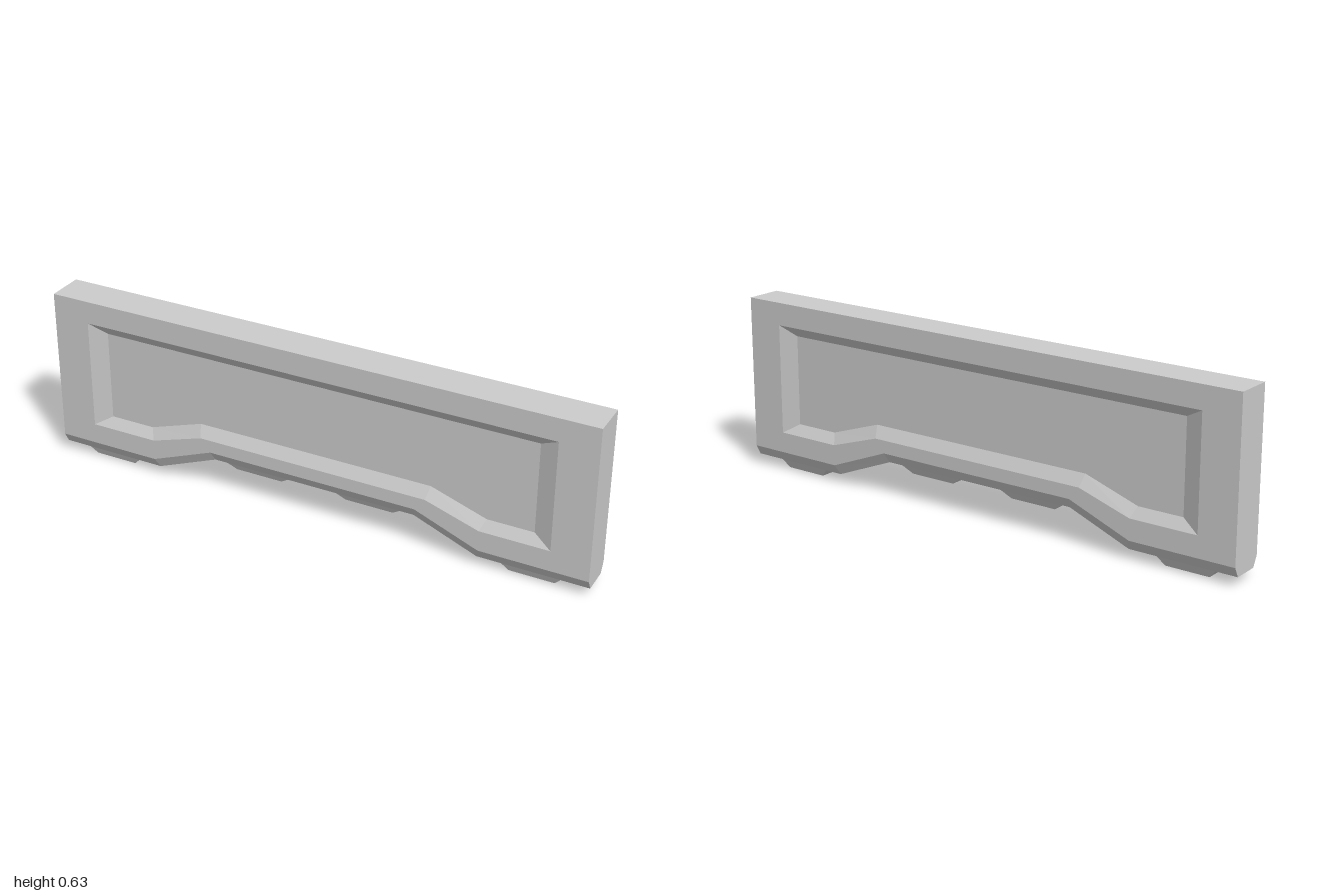
import * as THREE from 'three';

const HALF = 0.067; // half thickness of the panel
const material = new THREE.MeshStandardMaterial({ color: 0xcccccc, flatShading: true });

// Closed arched outline: top, side, low bottom, slope, raised middle (mirrored in x)
function outline(side, top, low, lowX, high, highX) {
  const left = [[-side, top], [-side, low], [-lowX, low], [-highX, high]];
  const right = left.map(([x, y]) => [-x, y]).reverse();
  return [...left, ...right];
}

// Skin over consecutive loops, with flat caps on the first and last
function loft(rings) {
  const pos = [];
  const put = (...pts) => pts.forEach((p) => pos.push(...p));
  const pts = rings.map(({ loop, z }) => loop.map(([x, y]) => [x, y, z]));
  for (let i = 0; i < pts.length - 1; i++) {
    const n = pts[i].length;
    for (let k = 0; k < n; k++) {
      const a = pts[i][k], b = pts[i][(k + 1) % n];
      const c = pts[i + 1][k], d = pts[i + 1][(k + 1) % n];
      put(a, c, d, a, d, b);
    }
  }
  const first = pts[0], last = pts[pts.length - 1];
  const flat = rings[0].loop.map(([x, y]) => new THREE.Vector2(x, y));
  for (const [a, b, c] of THREE.ShapeUtils.triangulateShape(flat, [])) {
    put(first[a], first[b], first[c]);
    put(last[a], last[c], last[b]);
  }
  const geo = new THREE.BufferGeometry();
  geo.setAttribute('position', new THREE.Float32BufferAttribute(pos, 3));
  geo.computeVertexNormals();
  return geo;
}

// Block hanging below y, narrowing downwards
function taperedFoot(topW, bottomW, height) {
  const geo = new THREE.BoxGeometry(topW, height, 0.08);
  geo.translate(0, -height / 2, 0);
  const p = geo.attributes.position;
  for (let i = 0; i < p.count; i++) {
    if (p.getY(i) < -height / 2) {
      p.setX(i, p.getX(i) * bottomW / topW);
      p.setZ(i, p.getZ(i) * 0.65);
    }
  }
  geo.computeVertexNormals();
  return geo;
}

export function createModel() {
  const group = new THREE.Group();
  group.name = 'archedPanel';

  // Panel with a bevelled recess on both faces and a chamfered lower edge
  const recessFloor = outline(0.8, 0.51, 0.183, 0.635, 0.25, 0.435);
  const recessRim = outline(0.865, 0.545, 0.145, 0.618, 0.207, 0.425);
  const face = outline(1, 0.627, 0.07, 0.618, 0.16, 0.388);
  const underside = outline(1, 0.627, 0.034, 0.607, 0.125, 0.378);
  const front = [
    { loop: recessFloor, z: HALF - 0.023 },
    { loop: recessRim, z: HALF },
    { loop: face, z: HALF },
    { loop: underside, z: 0.048 },
  ];
  const back = front.map(({ loop, z }) => ({ loop, z: -z })).reverse();
  const panel = new THREE.Mesh(loft([...front, ...back]), material);
  panel.name = 'panel';
  group.add(panel);

  // Feet: two on the low ends, two under the raised middle
  const feet = [
    ['outerRightFoot', -0.81, 0.034, 0.22, 0.16, 0.034],
    ['innerRightFoot', -0.218, 0.125, 0.262, 0.175, 0.03],
    ['innerLeftFoot', 0.204, 0.125, 0.262, 0.175, 0.03],
    ['outerLeftFoot', 0.793, 0.034, 0.22, 0.16, 0.034],
  ];
  for (const [name, x, y, topW, bottomW, height] of feet) {
    const foot = new THREE.Mesh(taperedFoot(topW, bottomW, height), material);
    foot.name = name;
    foot.position.set(x, y, 0);
    group.add(foot);
  }
  return group;
}
